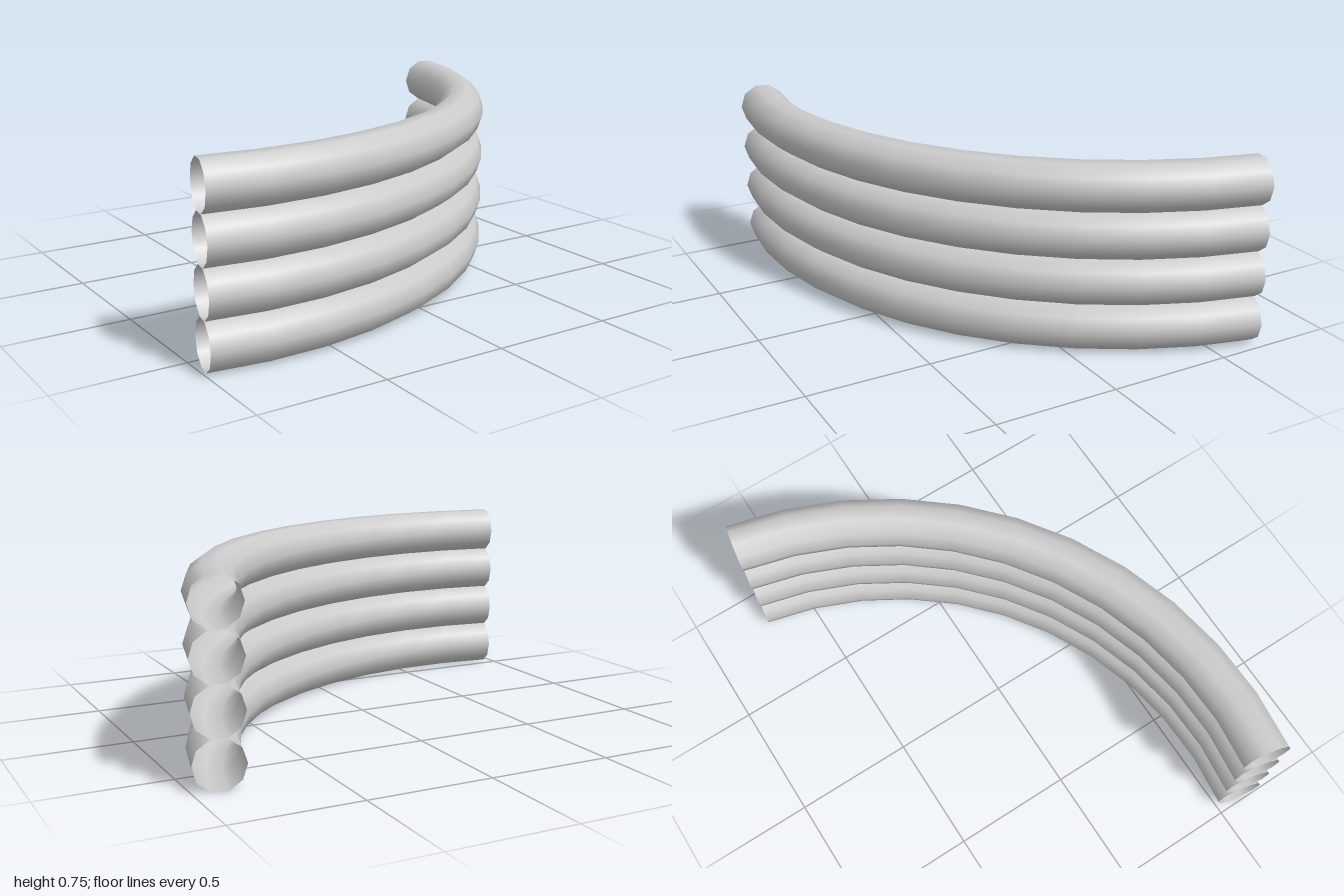
import * as THREE from 'three';

export function createModel() {
  const group = new THREE.Group();
  group.name = 'stackedCurvedPipes';
  const material = new THREE.MeshStandardMaterial({ color: 0xcccccc, side: THREE.DoubleSide });

  // Quarter-circle bend of open ten-sided pipe, laid flat
  const bendRadius = 1.614, pipeRadius = 0.098;
  const startAngle = THREE.MathUtils.degToRad(10.7);
  const geometry = new THREE.TorusGeometry(bendRadius, pipeRadius, 10, 11, Math.PI / 2);
  geometry.rotateZ(startAngle).rotateX(Math.PI / 2);
  geometry.translate(-0.682, 0, -0.996);

  // Four identical pipes stacked so that they touch
  const pitch = 0.188, halfHeight = pipeRadius * Math.sin(THREE.MathUtils.degToRad(72));
  for (let i = 0; i < 4; i++) {
    const pipe = new THREE.Mesh(geometry, material);
    pipe.name = `curvedPipe${i + 1}`;
    pipe.position.y = halfHeight + i * pitch;
    group.add(pipe);
  }
  return group;
}
